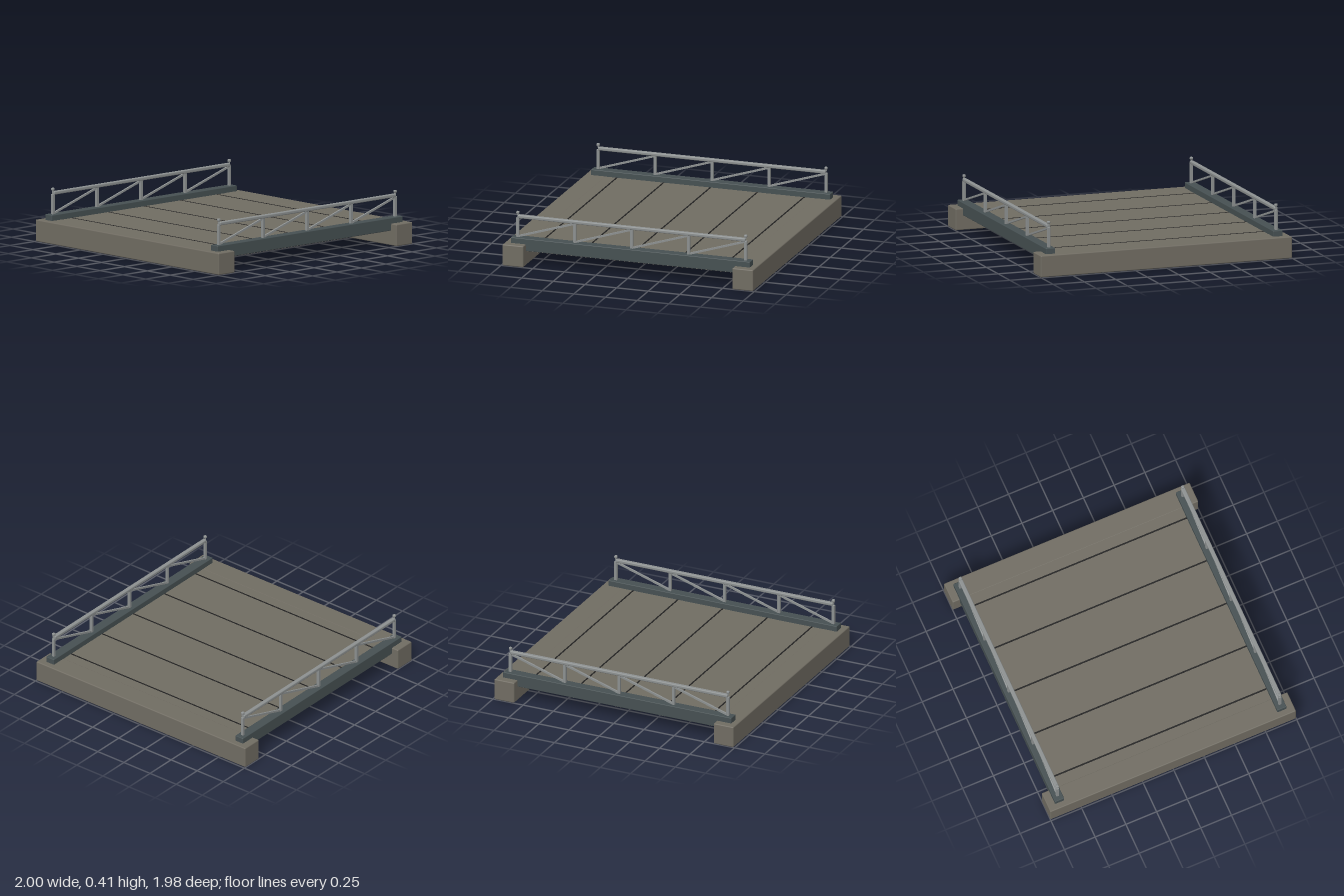
import * as THREE from 'three';
import { RoundedBoxGeometry } from 'three/addons/geometries/RoundedBoxGeometry.js';

const mat = (name, color) => {
  const m = new THREE.MeshStandardMaterial({ color });
  m.name = name;
  return m;
};

export function createModel() {
  const concrete = mat('concrete', 0x706c62);
  const steel = mat('dark steel', 0x465052);
  const railMetal = mat('rail metal', 0x8c9090);
  const jointBlack = mat('joint black', 0x222222);

  const model = new THREE.Group();
  model.name = 'bridge';

  const add = (parent, name, geometry, material, x, y, z) => {
    const mesh = new THREE.Mesh(geometry, material);
    mesh.name = name;
    mesh.position.set(x, y, z);
    parent.add(mesh);
    return mesh;
  };
  // Box with a small softened edge
  const block = (w, h, d, r) => new RoundedBoxGeometry(w, h, d, 2, r);

  // Abutments at both ends
  for (const s of [1, -1]) {
    add(model, 'abutment', block(2, 0.165, 0.165, 0.008), concrete, 0, 0.0825, s * 0.9075);
  }

  // Deck slab with expansion joints
  add(model, 'deck', new THREE.BoxGeometry(1.87, 0.054, 1.72), concrete, 0, 0.137, 0);
  for (let i = -2; i <= 2; i++) {
    add(model, 'deckJoint', new THREE.BoxGeometry(1.75, 0.004, 0.012), jointBlack, 0, 0.1635, i * 0.37);
  }

  // Edge girders with trussed railings
  const posts = [0.9, 0.45, 0, -0.45, -0.9];
  for (const side of [1, -1]) {
    const x = side * 0.905;
    add(model, 'girder', block(0.075, 0.096, 1.89, 0.005), steel, x, 0.16, 0);

    const railing = new THREE.Group();
    railing.name = 'railing';
    railing.position.x = x;
    model.add(railing);

    add(railing, 'topRail', block(0.032, 0.026, 1.8, 0.008), railMetal, 0, 0.367, 0);
    for (const z of posts) {
      add(railing, 'post', block(0.022, 0.155, 0.022, 0.003), railMetal, 0, 0.282, z);
    }
    // Diagonal braces rise towards the back
    for (let i = 0; i < 4; i++) {
      const a = new THREE.Vector3(0, 0.214, posts[i] - 0.01);
      const b = new THREE.Vector3(0, 0.35, posts[i + 1] + 0.01);
      const mid = a.clone().add(b).multiplyScalar(0.5);
      const brace = add(railing, 'brace', new THREE.BoxGeometry(0.014, 0.014, a.distanceTo(b)), railMetal, 0, mid.y, mid.z);
      brace.rotation.x = Math.atan2(b.y - a.y, a.z - b.z);
    }
    // Knobs above the end posts
    for (const z of [posts[0], posts[4]]) {
      add(railing, 'knobNeck', new THREE.CylinderGeometry(0.007, 0.007, 0.02, 10), railMetal, 0, 0.385, z);
      add(railing, 'knob', block(0.024, 0.022, 0.024, 0.008), railMetal, 0, 0.396, z);
    }
  }
  return model;
}
